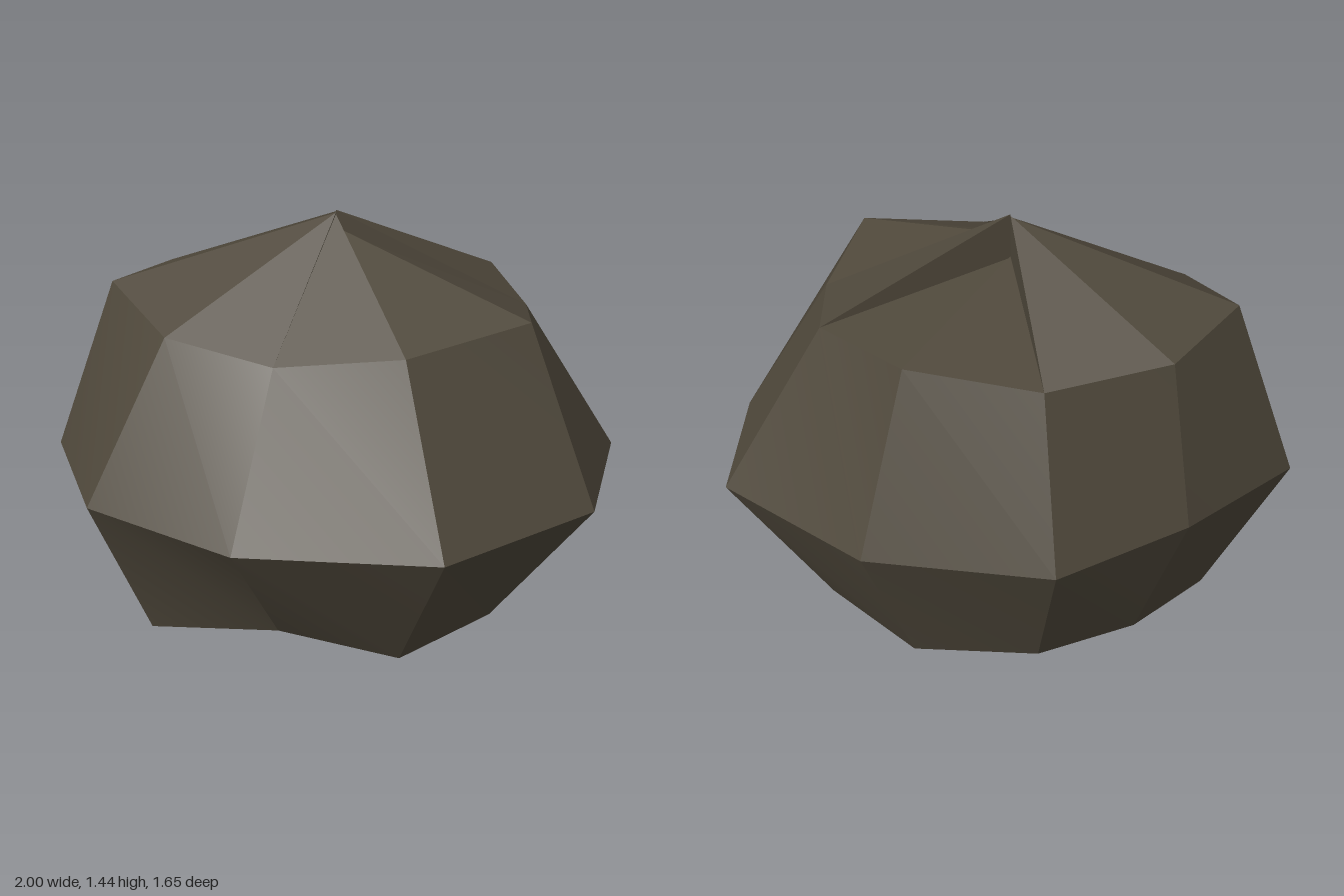
import * as THREE from 'three';

// Rings of ten corners [x, y, z], running from the left side round by the back
const base = [
  [0.74, 0, -0.02], [0.6, 0, -0.36], [0.22, 0.01, -0.61], [-0.21, 0.01, -0.545], [-0.52, 0.04, -0.36],
  [-0.725, 0, -0.02], [-0.655, 0.005, 0.34], [-0.2, 0.07, 0.46], [0.22, 0, 0.525], [0.55, 0.03, 0.3],
];
const belly = [
  [1, 0.56, -0.02], [0.89, 0.56, -0.54], [0.32, 0.56, -0.825], [-0.31, 0.56, -0.785], [-0.69, 0.56, -0.43],
  [-1, 0.56, -0.02], [-0.83, 0.56, 0.46], [-0.33, 0.56, 0.77], [0.34, 0.56, 0.825], [0.86, 0.56, 0.48],
];
const shoulder = [
  [0.66, 1.1, -0.02], [0.57, 1.13, -0.36], [0.22, 1.16, -0.6], [-0.22, 1.1, -0.55], [-0.6, 1.14, -0.36],
  [-0.77, 1.185, -0.02], [-0.56, 1.11, 0.3], [-0.2, 1.07, 0.45], [0.22, 1.13, 0.52], [0.63, 1.185, 0.35],
];
// Each facet of the peak ends at its own height
const tips = [1.44, 1.28, 1.285, 1.435, 1.43, 1.43, 1.43, 1.425, 1.38, 1.37].map((y) => [0, y, -0.025]);
const bottom = [0, 0.01, -0.025];

const next = (ring, i) => ring[(i + 1) % ring.length];

// Faces of three or four corners; each is smooth inside and sharp at its border
function facetMesh(name, faces, material) {
  const index = [];
  let start = 0;
  for (const face of faces) {
    for (let k = 1; k < face.length - 1; k++) index.push(start, start + k, start + k + 1);
    start += face.length;
  }
  const geometry = new THREE.BufferGeometry();
  geometry.setAttribute('position', new THREE.Float32BufferAttribute(faces.flat(2), 3));
  geometry.setIndex(index);
  geometry.computeVertexNormals();
  const mesh = new THREE.Mesh(geometry, material);
  mesh.name = name;
  return mesh;
}

// Band of four-sided facets between two rings
const band = (lower, upper) =>
  lower.map((a, i) => [a, upper[i], next(upper, i), next(lower, i)].reverse());

export function createModel() {
  const stone = new THREE.MeshStandardMaterial({ color: 0x4f483b, side: THREE.DoubleSide });
  stone.name = 'dark stone';

  const rock = new THREE.Group();
  rock.name = 'rock';

  const underside = base.map((a, i) => [next(base, i), a, bottom]);
  const peak = shoulder.map((a, i) => [a, next(shoulder, i), tips[i]]);
  // Thin upright walls close the steps between neighbouring peak facets
  const steps = shoulder
    .map((a, i) => [a, tips[i], tips.at(i - 1)])
    .filter(([, high, low]) => high[1] !== low[1]);

  rock.add(
    facetMesh('underside', underside, stone),
    facetMesh('lowerSides', band(base, belly), stone),
    facetMesh('upperSides', band(belly, shoulder), stone),
    facetMesh('peak', peak, stone),
    facetMesh('peakSteps', steps, stone),
  );
  return rock;
}
